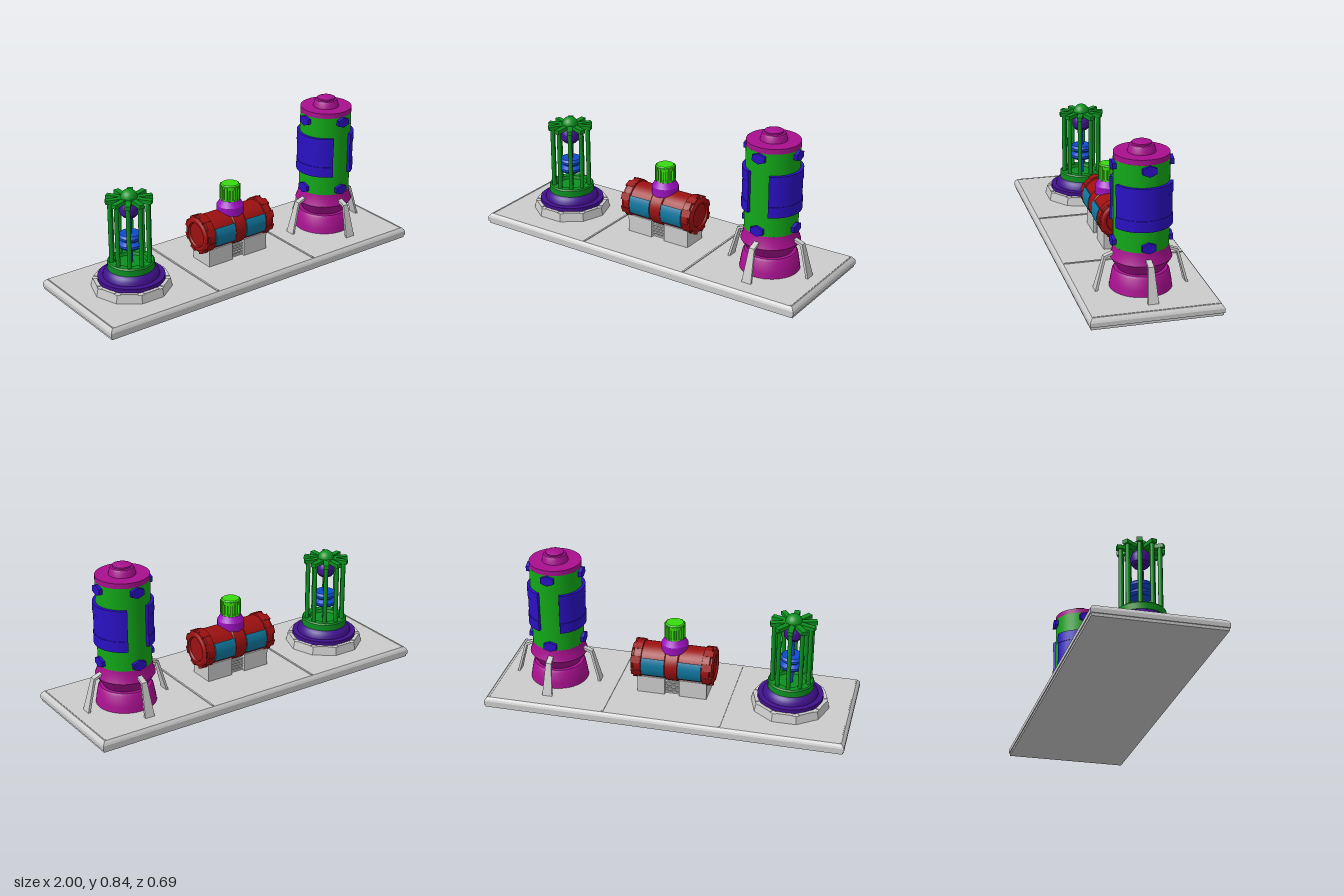
import * as THREE from 'three';
import { toCreasedNormals } from 'three/addons/utils/BufferGeometryUtils.js';

const mat = (color) => new THREE.MeshStandardMaterial({ color, side: THREE.DoubleSide });
const GREY = mat(0xcccccc), GREEN = mat(0x12a818), MAGENTA = mat(0xa8108f), BLUE = mat(0x2a10c4),
  RED = mat(0x9c1010), TEAL = mat(0x1078a0), LIME = mat(0x38dc10), VIOLET = mat(0x9c10c0),
  INDIGO = mat(0x40108c), LEAF = mat(0x0c9020), AZURE = mat(0x1048d0);

function add(parent, name, geo, material, x = 0, y = 0, z = 0) {
  const m = new THREE.Mesh(geo, material);
  m.name = name;
  m.position.set(x, y, z);
  parent.add(m);
  return m;
}

function group(parent, name, x = 0, y = 0, z = 0) {
  const g = new THREE.Group();
  g.name = name;
  g.position.set(x, y, z);
  parent.add(g);
  return g;
}

const box = (w, h, d) => new THREE.BoxGeometry(w, h, d);

// Turned solid from [radius, height] pairs, listed bottom to top
const lathe = (pts, sides = 40) => toCreasedNormals(
  new THREE.LatheGeometry(pts.map(([r, y]) => new THREE.Vector2(r, y)), sides), 0.45);

// Rectangular frustum from half extents at y0 to half extents at y1
function slab(x0, z0, x1, z1, y0, y1) {
  const g = box(2, 1, 2).toNonIndexed(), p = g.attributes.position;
  for (let i = 0; i < p.count; i++) {
    const top = p.getY(i) > 0;
    p.setXYZ(i, p.getX(i) * (top ? x1 : x0), top ? y1 : y0, p.getZ(i) * (top ? z1 : z0));
  }
  g.computeVertexNormals();
  return g;
}

// Curved plate centred on +x, bent round the y axis, standing on y = 0
function curvedPlate(r0, r1, half, height) {
  const s = new THREE.Shape();
  s.absarc(0, 0, r1, -half, half, false);
  s.absarc(0, 0, r0, half, -half, true);
  const g = new THREE.ExtrudeGeometry(s, { depth: height, bevelEnabled: false, curveSegments: 20 });
  return toCreasedNormals(g.rotateX(-Math.PI / 2), 0.45);
}

// Bent leg profile, tapering in width from foot to shoulder
function legGeometry() {
  const s = new THREE.Shape([[0.232, 0.06], [0.245, 0.06], [0.197, 0.24], [0.14, 0.262],
    [0.14, 0.248], [0.186, 0.23]].map(([x, y]) => new THREE.Vector2(x, y)));
  const g = new THREE.ExtrudeGeometry(s, { depth: 1, bevelEnabled: false }).translate(0, 0, -0.5);
  const p = g.attributes.position;
  for (let i = 0; i < p.count; i++) p.setZ(i, p.getZ(i) * (0.056 - (p.getY(i) - 0.06) * 0.14));
  g.computeVertexNormals();
  return g;
}

function buildBase(root) {
  const base = group(root, 'base');
  add(base, 'baseFoot', slab(0.994, 0.34, 0.994, 0.34, 0, 0.015), GREY);
  add(base, 'baseRim', slab(1, 0.345, 1, 0.345, 0.015, 0.038), GREY);
  add(base, 'baseBevel', slab(1, 0.345, 0.994, 0.34, 0.038, 0.048), GREY);
  add(base, 'baseTop', slab(0.994, 0.34, 0.983, 0.33, 0.048, 0.06), GREY);
  for (const x of [-0.325, 0.325]) add(base, 'divider', box(0.01, 0.006, 0.65), GREY, x, 0.061, 0);
  for (const x of [-0.975, 0.975]) add(base, 'endStrip', box(0.006, 0.004, 0.65), GREY, x, 0.06, 0);
}

function buildTower(root) {
  const t = group(root, 'tower', 0.665);
  add(t, 'towerSkirt', lathe([[0, 0.06], [0.162, 0.06], [0.158, 0.09], [0.147, 0.15], [0.138, 0.163], [0, 0.163]]), MAGENTA);
  add(t, 'towerFlare', lathe([[0, 0.16], [0.12, 0.165], [0.16, 0.227], [0.147, 0.262], [0.143, 0.295], [0, 0.295]]), MAGENTA);
  add(t, 'towerBody', lathe([[0, 0.293], [0.143, 0.293], [0.143, 0.757], [0, 0.757]], 48), GREEN);
  add(t, 'towerCap', lathe([[0, 0.757], [0.143, 0.757], [0.143, 0.785], [0.072, 0.785], [0.066, 0.813],
    [0.06, 0.823], [0.05, 0.826], [0.05, 0.834], [0.03, 0.842], [0, 0.842]]), MAGENTA);

  // Banded side panels
  for (const turn of [0, Math.PI]) {
    for (const [y, h, r] of [[0.41, 0.06, 0.16], [0.47, 0.11, 0.157], [0.58, 0.06, 0.16]]) {
      add(t, 'sidePanel', curvedPlate(0.135, r, 1.18, h), BLUE, 0, y, 0).rotation.y = turn;
    }
  }
  // Hexagonal bolts and legs on the four sides
  const hex = new THREE.CylinderGeometry(1, 1, 0.03, 6).toNonIndexed();
  hex.computeVertexNormals();
  hex.rotateZ(Math.PI / 2).rotateX(Math.PI / 2);
  hex.computeBoundingBox();
  const size = hex.boundingBox.getSize(new THREE.Vector3());
  if (size.y < size.z) hex.rotateX(Math.PI / 2);
  hex.scale(1, 0.029, 0.042);
  const leg = legGeometry();
  for (let i = 0; i < 4; i++) {
    const side = group(t, 'towerSide');
    side.rotation.y = i * Math.PI / 2;
    for (const y of [0.322, 0.728]) add(side, 'bolt', hex, BLUE, 0.143, y, 0);
    add(side, 'leg', leg, GREY);
  }
}

function buildTank(root) {
  const t = group(root, 'tank', -0.005);
  // Horizontal drum: turned upright, then laid along x
  const drum = group(t, 'drum', 0, 0.235, 0);
  drum.rotation.z = -Math.PI / 2;
  add(drum, 'drumBody', lathe([[0, -0.18], [0.1, -0.18], [0.1, -0.04], [0.106, -0.034], [0.106, 0.034],
    [0.1, 0.04], [0.1, 0.18], [0, 0.18]], 32), RED);
  for (const s of [0, Math.PI]) {
    const end = group(drum, 'drumEnd');
    end.rotation.z = s;
    add(end, 'endCap', lathe([[0.095, 0.168], [0.107, 0.172], [0.107, 0.212], [0.098, 0.216],
      [0.098, 0.224], [0.085, 0.232], [0.07, 0.232], [0.065, 0.222], [0, 0.222]], 32), RED);
    for (let i = 0; i < 8; i++) {
      const a = i * Math.PI / 4 + Math.PI / 8;
      add(end, 'endLug', box(0.026, 0.05, 0.04), RED, Math.cos(a) * 0.094, 0.201, Math.sin(a) * 0.094).rotation.y = -a;
    }
  }
  // Curved windows, front and back
  for (const y of [-0.168, 0.038]) for (const a of [Math.PI / 2, -Math.PI / 2]) {
    add(drum, 'window', curvedPlate(0.09, 0.108, 0.52, 0.13), TEAL, 0, y, 0).rotation.y = a;
  }

  // Neck and ribbed knob
  add(t, 'neck', lathe([[0.074, 0.31], [0.074, 0.36], [0.066, 0.372], [0.054, 0.392], [0, 0.392]], 32), VIOLET);
  add(t, 'knob', lathe([[0, 0.385], [0.053, 0.385], [0.053, 0.4], [0.046, 0.402], [0.046, 0.455],
    [0.052, 0.458], [0.052, 0.478], [0.046, 0.484], [0, 0.484]], 32), LIME);
  for (let i = 0; i < 12; i++) {
    const a = i * Math.PI / 6;
    add(t, 'knobRib', box(0.016, 0.08, 0.014), LIME, Math.cos(a) * 0.049, 0.437, Math.sin(a) * 0.049).rotation.y = -a;
  }

  // Support blocks with a stack of plates between them
  for (const s of [-1, 1]) add(t, 'supportBlock', box(0.155, 0.1, 0.15), GREY, s * 0.118, 0.11, 0);
  for (let i = 0; i < 5; i++) add(t, 'stackPlate', box(0.084, 0.009, 0.12), GREY, 0, 0.068 + i * 0.016, 0);
  add(t, 'stackCore', box(0.06, 0.08, 0.1), GREY, 0, 0.1, 0);
}

function buildCage(root) {
  const c = group(root, 'cage', -0.655);
  // Ten-sided plinth with raised rim plates
  const plinth = new THREE.CylinderGeometry(0.208, 0.217, 0.046, 10).toNonIndexed();
  plinth.rotateY(Math.PI / 2);
  plinth.computeVertexNormals();
  add(c, 'plinth', plinth, GREY, 0, 0.083, 0);
  for (let i = 0; i < 10; i++) {
    const a = (i + 0.5) * Math.PI / 5;
    add(c, 'rimPlate', box(0.02, 0.01, 0.09), GREY, Math.cos(a) * 0.188, 0.105, Math.sin(a) * 0.188).rotation.y = -a;
  }
  add(c, 'pedestal', lathe([[0, 0.1], [0.18, 0.1], [0.18, 0.13], [0.152, 0.132], [0.148, 0.148],
    [0.138, 0.164], [0.122, 0.176], [0, 0.176]]), INDIGO);
  add(c, 'cageRing', lathe([[0, 0.175], [0.126, 0.175], [0.126, 0.21], [0.12, 0.217], [0.085, 0.217], [0.08, 0.2], [0, 0.2]]), LEAF);

  // Posts with a spoke over each
  for (let i = 0; i < 10; i++) {
    const arm = group(c, 'cageArm');
    arm.rotation.y = (i + 0.5) * Math.PI / 5;
    add(arm, 'post', new THREE.CylinderGeometry(0.012, 0.012, 0.36, 10), LEAF, 0.104, 0.385, 0);
    add(arm, 'spoke', box(0.1, 0.022, 0.03), LEAF, 0.076, 0.564, 0);
  }
  add(c, 'hub', lathe([[0, 0.553], [0.05, 0.553], [0.05, 0.576], [0, 0.576]], 24), LEAF);
  add(c, 'finial', new THREE.SphereGeometry(0.046, 24, 16), LEAF, 0, 0.573, 0);

  // Inner core
  add(c, 'coreShaft', new THREE.CylinderGeometry(0.011, 0.011, 0.37, 12), AZURE, 0, 0.375, 0);
  add(c, 'coreSpool', lathe([[0, 0.29], [0.055, 0.29], [0.066, 0.302], [0.066, 0.314], [0.045, 0.33],
    [0.066, 0.346], [0.066, 0.358], [0.055, 0.37], [0, 0.37]], 32), AZURE);
  add(c, 'coreHead', lathe([[0, 0.465], [0.036, 0.468], [0.05, 0.485], [0.052, 0.52], [0.044, 0.54],
    [0.03, 0.555], [0, 0.555]], 32), INDIGO);
}

export function createModel() {
  const root = new THREE.Group();
  root.name = 'model';
  buildBase(root);
  buildTower(root);
  buildTank(root);
  buildCage(root);
  return root;
}
